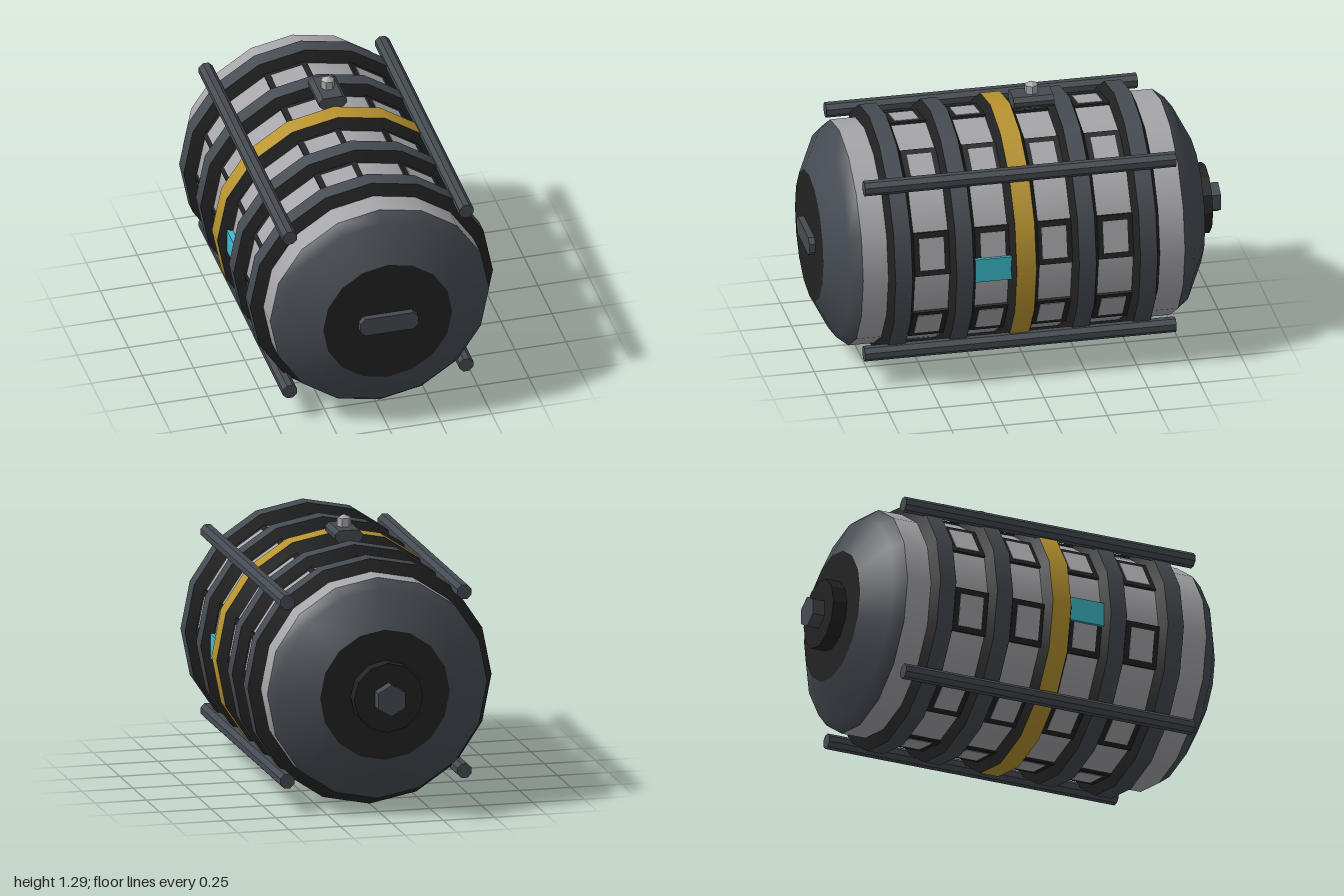
import * as THREE from 'three';

const AXIS_Y = 0.597, SIDES = 16, HULL_R = 0.535, RING_R = 0.593, MID_Z = 0.05;

const paint = (name, color) => {
  const m = new THREE.MeshStandardMaterial({ color });
  m.name = name;
  return m;
};

export function createModel() {
  const light = paint('light grey', 0xa6a5a9);
  const slate = paint('slate', 0x454b52);
  const black = paint('black', 0x222222);
  const gold = paint('gold', 0xb8942f);
  const cyan = paint('cyan', 0x3cbccc);
  const flatSlate = slate;

  const model = new THREE.Group();
  model.name = 'canister';
  const body = new THREE.Group(); // origin on the long axis
  body.name = 'body';
  body.position.y = AXIS_Y;
  model.add(body);

  const add = (name, geo, mat, x = 0, y = 0, z = 0, parent = body) => {
    const mesh = new THREE.Mesh(geo, mat);
    mesh.name = name;
    mesh.position.set(x, y, z);
    parent.add(mesh);
    return mesh;
  };
  // Lathe round the z axis; profile is [radius, z] with z rising
  const turn = (name, mat, profile, z = 0) => add(name,
    new THREE.LatheGeometry(profile.map(p => new THREE.Vector2(...p)), SIDES).rotateX(Math.PI / 2),
    mat, 0, 0, z);
  // Prism along z with faceted sides
  const prism = (r, len, n, spin = 0) =>
    new THREE.CylinderGeometry(r, r, len, n).rotateY(spin).rotateX(Math.PI / 2).toNonIndexed();
  const faceted = geo => { geo.computeVertexNormals(); return geo; };
  // Chamfered rectangle extruded along z, centred
  const chamferBar = (w, h, c, depth) => {
    const a = w / 2, b = h / 2;
    const s = new THREE.Shape([[a, c - b], [a, b - c], [a - c, b], [c - a, b],
      [-a, b - c], [-a, c - b], [c - a, -b], [a - c, -b]].map(p => new THREE.Vector2(...p)));
    return new THREE.ExtrudeGeometry(s, { depth, bevelEnabled: false }).translate(0, 0, -depth / 2);
  };

  // Hull and domed ends
  turn('hull', light, [[HULL_R, -0.725], [HULL_R, 0.825]]);
  turn('frontCap', slate, [[HULL_R, 0.825], [0.492, 0.88], [0.315, 0.97]]);
  turn('backCap', slate, [[0.315, -0.87], [0.492, -0.78], [HULL_R, -0.725]]);
  turn('frontDisc', black, [[0.315, 0.97], [0, 0.97]]);
  turn('backDisc', black, [[0, -0.87], [0.315, -0.87]]);

  // Five ribs with black sloping sides and a coloured rim
  for (let i = -2; i <= 2; i++) {
    const z = MID_Z + i * 0.295;
    const rim = i ? 0.041 : 0.047, base = i ? 0.066 : 0.076;
    turn('ribBackSlope', black, [[HULL_R - 0.005, -base], [RING_R, -rim]], z);
    turn(i ? 'ribRim' : 'goldRibRim', i ? slate : gold, [[RING_R, -rim], [RING_R, rim]], z);
    turn('ribFrontSlope', black, [[RING_R, rim], [HULL_R - 0.005, base]], z);
  }

  // Framed panels on every other facet of each bay
  const apothem = HULL_R * Math.cos(Math.PI / SIDES);
  const frameGeo = new THREE.BoxGeometry(0.02, 0.212, 0.17);
  const panelGeo = new THREE.BoxGeometry(0.006, 0.155, 0.118);
  for (const bay of [-1.5, -0.5, 0.5, 1.5]) {
    for (let k = 0; k < 8; k++) {
      const facet = new THREE.Group();
      facet.name = 'framedPanel';
      facet.rotation.z = (k + 0.25) * Math.PI / 4;
      facet.position.z = MID_Z + bay * 0.295;
      body.add(facet);
      add('panelFrame', frameGeo, black, apothem, 0, 0, facet);
      add('panelFace', panelGeo, light, apothem + 0.01, 0, 0, facet);
    }
  }

  // Side lamps and four long rails
  for (const s of [-1, 1]) {
    add('sideLamp', new THREE.BoxGeometry(0.03, 0.118, 0.174), cyan, s * 0.535, 0.003, 0.2);
    for (const t of [-1, 1]) {
      add('rail', faceted(prism(0.037, 1.5, 8, Math.PI / 8)), flatSlate, s * 0.431, t * 0.433, MID_Z);
    }
  }

  // Front handle
  add('frontHandle', chamferBar(0.284, 0.092, 0.024, 0.04), slate, 0, 0, 0.98);

  // Back plug and bolt
  add('backPlug', faceted(prism(0.168, 0.08, 12)), black, 0, 0, -0.9);
  add('backBolt', faceted(prism(0.076, 0.07, 6)), slate, 0, 0, -0.965);

  // Top mount with pointed stud
  const top = new THREE.Group();
  top.name = 'topMount';
  top.position.set(0, 0, -0.1);
  body.add(top);
  add('mountBlock', chamferBar(0.136, 0.06, 0.02, 0.195), slate, 0, 0.611, 0, top);
  const stud = new THREE.CylinderGeometry(0.033, 0.033, 0.05, 6).rotateY(Math.PI / 6).toNonIndexed();
  add('stud', faceted(stud), light, 0, 0.657, 0, top);
  const tip = new THREE.ConeGeometry(0.033, 0.017, 6).rotateY(Math.PI / 6).toNonIndexed();
  add('studTip', faceted(tip), light, 0, 0.6905, 0, top);

  return model;
}
